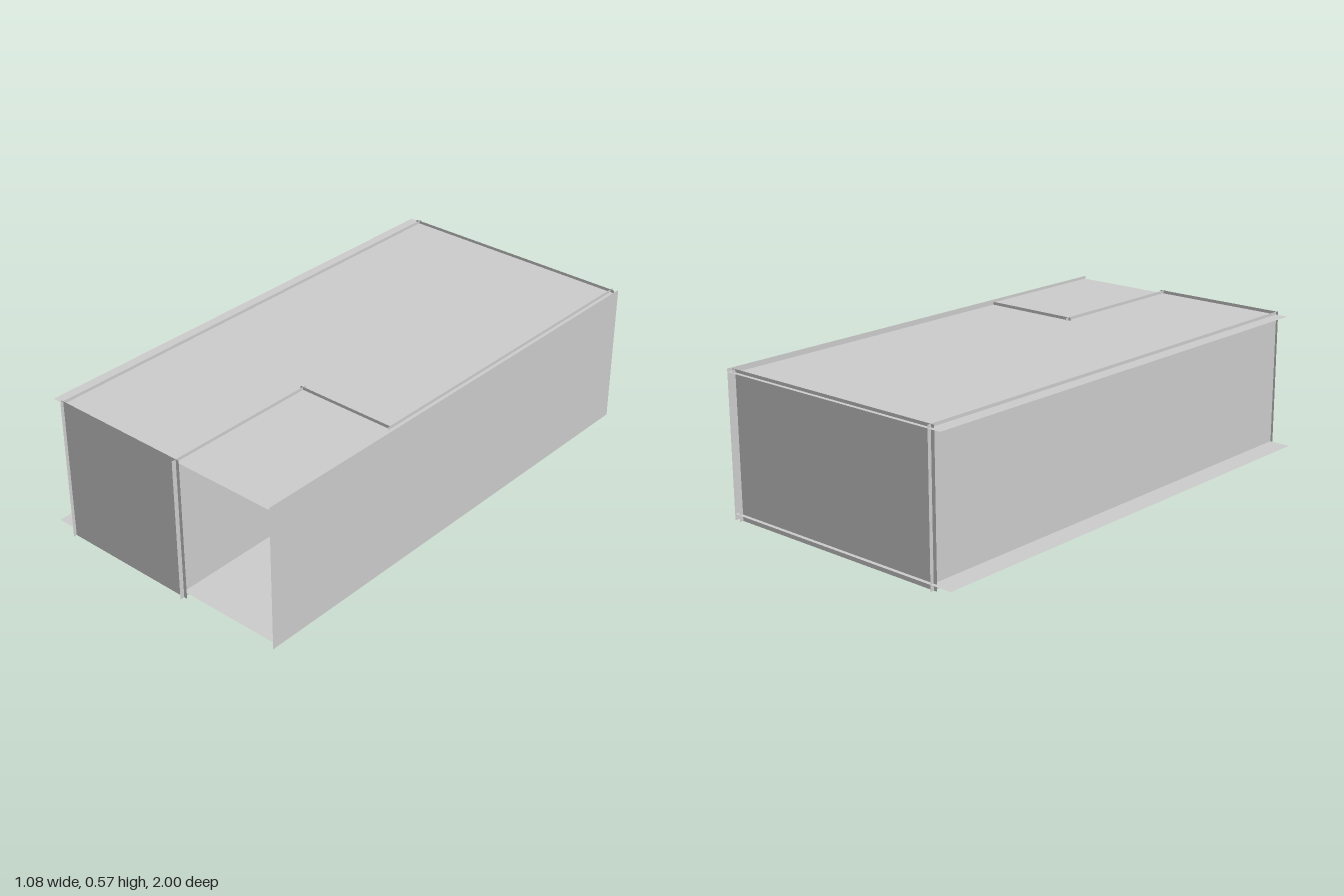
import * as THREE from 'three';

const HEIGHT = 0.57;

export function createModel() {
  const group = new THREE.Group();
  const material = new THREE.MeshStandardMaterial({ color: 0xcccccc, side: THREE.DoubleSide });

  const addPanel = (name, geometry) => {
    const mesh = new THREE.Mesh(geometry, material);
    mesh.name = name;
    group.add(mesh);
  };

  // thin upright panel between two plan points
  const wall = (name, x0, z0, x1, z1) => {
    const g = new THREE.PlaneGeometry(Math.hypot(x1 - x0, z1 - z0), HEIGHT);
    g.rotateY(-Math.atan2(z1 - z0, x1 - x0));
    g.translate((x0 + x1) / 2, HEIGHT / 2, (z0 + z1) / 2);
    addPanel(name, g);
  };

  // thin level panel
  const slab = (name, x0, x1, z0, z1, y) => {
    const g = new THREE.PlaneGeometry(x1 - x0, z1 - z0);
    g.rotateX(-Math.PI / 2);
    g.translate((x0 + x1) / 2, y, (z0 + z1) / 2);
    addPanel(name, g);
  };

  // floor and roof sit just inside the wall ends and overhang the sides
  slab('floor', -0.54, 0.537, -1, 0.98, 0.025);
  slab('roof', -0.504, 0.537, -1, 0.98, 0.558);

  // L-shaped room, with panels crossing slightly at the corners
  wall('frontWall', -0.459, 0.982, 0.126, 0.982);
  wall('porchSideWall', 0.112, 0.345, 0.112, 1);
  wall('porchBackWall', 0.1, 0.36, 0.511, 0.36);
  wall('innerLeftWall', 0.511, -1, 0.511, 0.37);
  wall('backWall', -0.465, -0.985, 0.527, -0.985);
  wall('rightWall', -0.45, -1, -0.45, 0.995);

  // long outer wall that also screens the open porch
  wall('outerLeftWall', 0.537, -1, 0.537, 0.984);

  return group;
}
